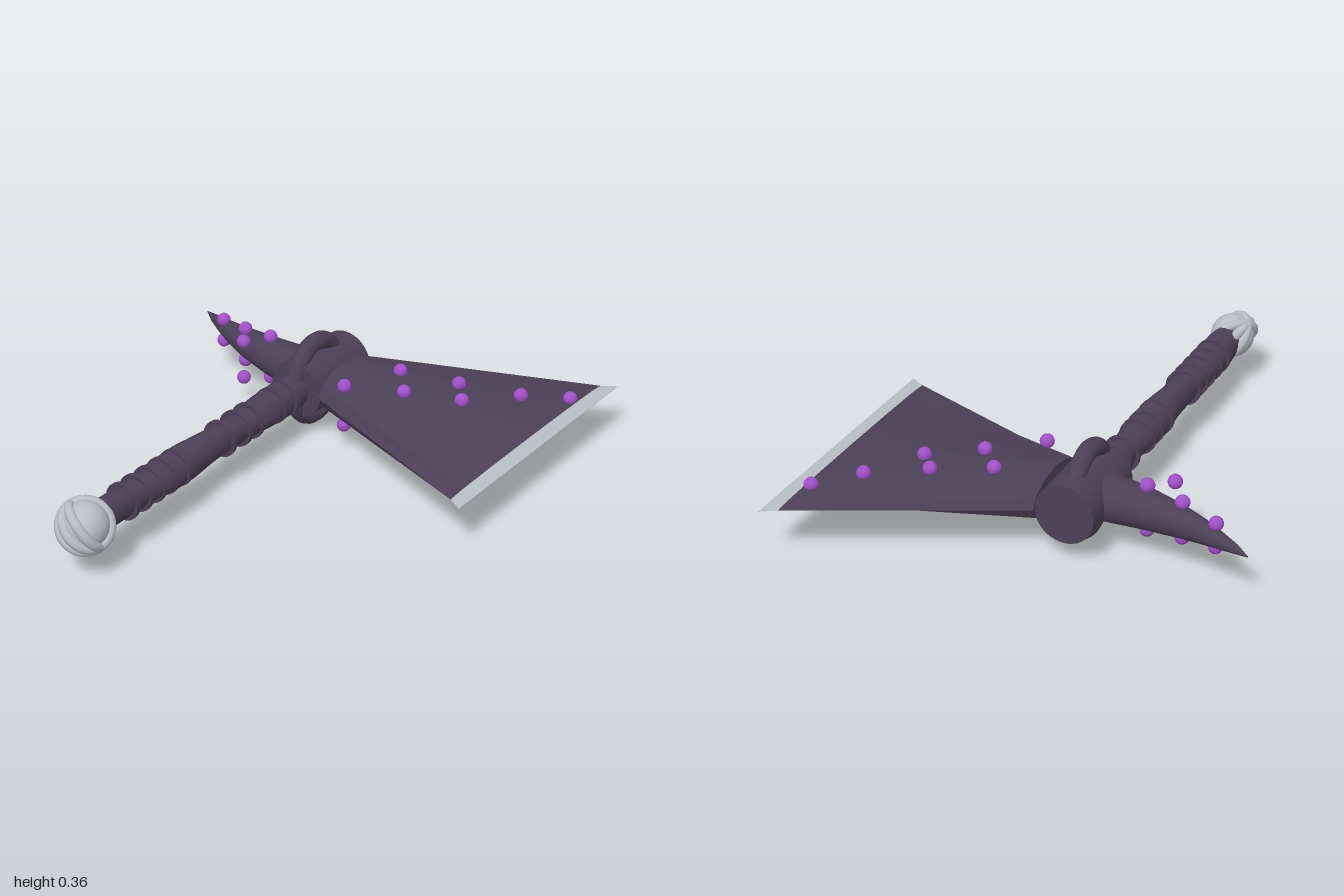
import * as THREE from 'three';
import { toCreasedNormals } from 'three/addons/utils/BufferGeometryUtils.js';

const X = -0.14, Y = 0.185; // handle axis

// Skin closed rings of points; each ring runs anticlockwise about the loft direction
function loft(rings, crease = 0.6) {
  const n = rings[0].length, pos = [], idx = [];
  rings.forEach(r => r.forEach(p => pos.push(p.x, p.y, p.z)));
  for (let i = 0; i < rings.length - 1; i++) {
    for (let j = 0; j < n; j++) {
      const a = i * n + j, b = i * n + (j + 1) % n;
      idx.push(a, b, a + n, b, b + n, a + n);
    }
  }
  [0, rings.length - 1].forEach(i => {
    const c = rings[i].reduce((s, p) => s.add(p), new THREE.Vector3()).divideScalar(n);
    const k = pos.length / 3;
    pos.push(c.x, c.y, c.z);
    for (let j = 0; j < n; j++) {
      const a = i * n + j, b = i * n + (j + 1) % n;
      if (i === 0) idx.push(k, b, a); else idx.push(k, a, b);
    }
  });
  const g = new THREE.BufferGeometry();
  g.setAttribute('position', new THREE.Float32BufferAttribute(pos, 3));
  g.setIndex(idx);
  return toCreasedNormals(g, crease);
}

// Elliptical ring in the y-z plane, dir = loft direction along x
function ringX([x, cz, hz, hy], n, dir) {
  return Array.from({ length: n }, (_, j) => {
    const t = j / n * Math.PI * 2 * dir;
    return new THREE.Vector3(x, Y + hy * Math.cos(t), cz + hz * Math.sin(t));
  });
}

export function createModel() {
  const group = new THREE.Group();
  const mat = (name, color) => {
    const m = new THREE.MeshStandardMaterial({ color });
    m.name = name;
    return m;
  };
  const dark = mat('dark violet', 0x4b4056);
  const silver = mat('silver', 0xb8bcc4);
  const purple = mat('purple', 0xa050c8);

  const add = (name, geo, material, x = 0, y = 0, z = 0) => {
    const m = new THREE.Mesh(geo, material);
    m.name = name;
    m.position.set(x, y, z);
    group.add(m);
    return m;
  };

  // Twisted oval handle
  const shaft = [];
  for (let i = 0; i <= 48; i++) {
    const z = -0.3 + 1.14 * i / 48;
    const twist = z * 5.5;
    shaft.push(Array.from({ length: 20 }, (_, j) => {
      const t = j / 20 * Math.PI * 2;
      const r = 0.059 + 0.006 * Math.cos(2 * (t - twist)) + 0.002 * Math.cos(4 * (t - twist));
      return new THREE.Vector3(X + r * Math.cos(t), Y + r * Math.sin(t), z);
    }));
  }
  add('handle', loft(shaft), dark);

  // Thin binding rings on the handle
  const band = new THREE.CylinderGeometry(0.069, 0.069, 0.015, 24).rotateX(Math.PI / 2);
  [-0.2, -0.13, 0.01, 0.08, 0.17, 0.42, 0.49, 0.56, 0.63, 0.7].forEach(z =>
    add('handleBand', band, dark, X, Y, z));

  // Socket and the ring running through it
  add('socket', new THREE.CylinderGeometry(0.108, 0.108, 0.315, 40).rotateX(Math.PI / 2), dark, X, Y, -0.435);
  const loop = new THREE.TorusGeometry(0.147, 0.034, 14, 40).rotateY(Math.PI / 2).scale(1, 1, 0.9);
  add('socketRing', loop, dark, X, Y, -0.395);

  // Flaring blade and its bright cutting edge
  const inner = [-0.035, -0.44, 0.17, 0.081], outer = [0.735, -0.465, 0.5, 0.009];
  add('blade', loft([inner, outer].map(s => ringX(s, 12, 1))), dark);
  add('cuttingEdge', loft([outer, [0.79, -0.465, 0.535, 0.001]].map(s => ringX(s, 12, 1))), silver);

  // Curved back spike
  const horn = [
    [-0.18, -0.418, 0.093, 0.085], [-0.24, -0.422, 0.088, 0.081], [-0.37, -0.438, 0.073, 0.071],
    [-0.5, -0.466, 0.056, 0.057], [-0.6, -0.497, 0.042, 0.042], [-0.68, -0.53, 0.028, 0.028],
    [-0.74, -0.556, 0.016, 0.016], [-0.79, -0.584, 0.002, 0.002],
  ];
  add('backSpike', loft(horn.map(s => ringX(s, 20, -1))), dark);

  // Studs on both faces: x, z, height off the middle plane
  const stud = new THREE.SphereGeometry(0.026, 16, 12);
  [
    [0.07, -0.285, 0.079], [0.157, -0.515, 0.071], [0.25, -0.4, 0.064], [0.365, -0.585, 0.055],
    [0.435, -0.495, 0.048], [0.572, -0.675, 0.034], [0.71, -0.79, 0.016],
    [-0.645, -0.5, 0.043], [-0.507, -0.455, 0.066], [-0.37, -0.43, 0.084], [-0.437, -0.353, 0.075],
  ].forEach(([x, z, h]) => [1, -1].forEach(s => add('stud', stud, purple, x, Y + s * h, z)));

  // Pommel ball wrapped in slanting hoops that meet at two opposite poles
  add('pommelBall', new THREE.SphereGeometry(0.083, 32, 20), silver, X, Y + 0.003, 0.895);
  const axis = new THREE.Vector3(-1, 1, 0).normalize();
  [-0.6, 0, 0.6].forEach(a => {
    const hoop = add('pommelHoop', new THREE.TorusGeometry(0.085, 0.018, 10, 40), silver, X, Y, 0.895);
    const normal = new THREE.Vector3(1, 1, 0).normalize().applyAxisAngle(axis, a);
    hoop.quaternion.setFromUnitVectors(new THREE.Vector3(0, 0, 1), normal);
  });

  return group;
}
